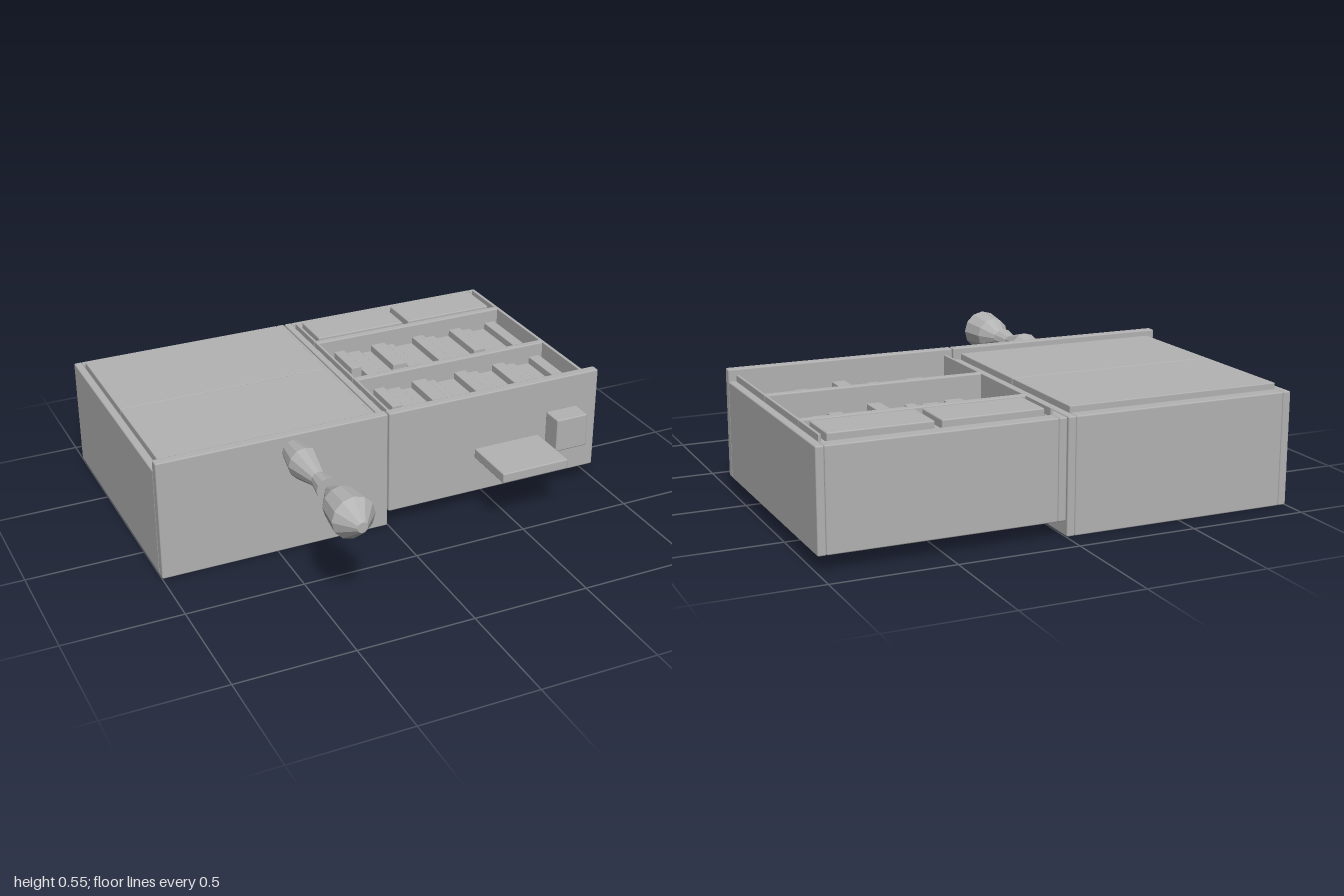
import * as THREE from 'three';
import { RoundedBoxGeometry } from 'three/addons/geometries/RoundedBoxGeometry.js';

export function createModel() {
  const model = new THREE.Group();
  model.name = 'cabinet';
  const grey = new THREE.MeshStandardMaterial({ color: 0xb3b3b3 });
  grey.name = 'plain grey';
  const faceted = grey; // the vase gets its facets from unshared normals

  // Box given by its two corners, with slightly eased edges
  function box(name, parent, x0, x1, y0, y1, z0, z1, radius = 0.006) {
    const geometry = new RoundedBoxGeometry(x1 - x0, y1 - y0, z1 - z0, 1, radius);
    const mesh = new THREE.Mesh(geometry, grey);
    mesh.position.set((x0 + x1) / 2, (y0 + y1) / 2, (z0 + z1) / 2);
    mesh.name = name;
    parent.add(mesh);
    return mesh;
  }

  function group(name) {
    const g = new THREE.Group();
    g.name = name;
    model.add(g);
    return g;
  }

  // Carcass shared by both halves: end board, side walls, base and back
  function carcass(parent, x0, x1, y0) {
    box('topBoard', parent, x0, x1, y0, 0.525, 0.188, 0.23);
    box('leftWall', parent, x1 - 0.035, x1, y0, 0.475, -0.89, 0.19);
    box('rightWall', parent, x0, x0 + 0.035, y0, 0.475, -0.89, 0.19);
    box('baseBoard', parent, x0 + 0.034, x1 - 0.034, y0, 0.475, -0.89, -0.83);
    box('backPanel', parent, x0 + 0.034, x1 - 0.034, y0 + 0.004, y0 + 0.04, -0.84, 0.19);
  }

  // Closed half with two doors
  const closed = group('closedHalf');
  carcass(closed, -1, -0.002, 0);
  box('lowerDoor', closed, -0.965, -0.037, 0.44, 0.5, -0.83, -0.327, 0.004);
  box('upperDoor', closed, -0.965, -0.037, 0.44, 0.5, -0.325, 0.187, 0.004);

  // Open half with shelves, inner rails and drawers
  const open = group('openHalf');
  carcass(open, 0.002, 1, 0.065);
  box('lowerShelf', open, 0.033, 0.962, 0.09, 0.5, -0.61, -0.577);
  box('upperShelf', open, 0.033, 0.962, 0.09, 0.5, -0.195, -0.162);
  for (const [z0, z1] of [[-0.825, -0.605], [-0.605, -0.195], [-0.195, 0.19]]) {
    box('rightRail', open, 0.03, 0.042, 0.1, 0.5, z0, z1, 0.003);
    box('leftRail', open, 0.954, 0.966, 0.1, 0.5, z0, z1, 0.003);
  }
  box('drawerBacking', open, 0.036, 0.964, 0.43, 0.465, -0.84, -0.6);
  box('rightDrawer', open, 0.063, 0.485, 0.45, 0.5, -0.82, -0.627);
  box('leftDrawer', open, 0.512, 0.932, 0.45, 0.5, -0.82, -0.627);

  // Two matching rows of books: [width, height]
  const books = [
    [0.06, 0.255], [0.05, 0.19], [0.075, 0.31], [0.058, 0.27], [0.07, 0.235],
    [0.043, 0.31], [0.096, 0.265], [0.058, 0.325], [0.058, 0.255], [0.075, 0.29],
    [0.058, 0.25], [0.055, 0.28], [0.075, 0.315], [0.053, 0.27],
  ];
  for (const start of [-0.58, -0.198]) {
    const row = group('bookRow');
    const shift = start === -0.58 ? 0 : 0.03;
    let x = 0.057;
    books.forEach(([width, height], i) => {
      const top = 0.41 + 0.03 * ((i * 5) % 3) / 2;
      box('book', row, x, x + width, 0.1, top, start + shift, start + shift + height, 0.003);
      x += width;
    });
  }

  // Objects on the end board
  box('flatBox', model, 0.405, 0.715, 0.23, 0.275, 0.228, 0.48);
  box('smallBox', model, 0.75, 0.9, 0.225, 0.375, 0.228, 0.325);

  // Faceted vase pointing out along z: [radius, z]
  const vase = group('vase');
  vase.position.set(-0.425, 0.455, 0);
  function turned(name, profile) {
    const points = profile.map(([r, z]) => new THREE.Vector2(r, z));
    const geometry = new THREE.LatheGeometry(points, 12).rotateX(Math.PI / 2).toNonIndexed();
    geometry.computeVertexNormals();
    const mesh = new THREE.Mesh(geometry, faceted);
    mesh.name = name;
    vase.add(mesh);
  }
  turned('vaseStem', [[0, 0.228], [0.047, 0.228], [0.07, 0.35], [0.034, 0.49], [0.048, 0.575], [0, 0.575]]);
  turned('vaseHead', [[0, 0.57], [0.012, 0.575], [0.075, 0.69], [0.09, 0.81], [0.022, 0.89], [0, 0.89]]);

  return model;
}
